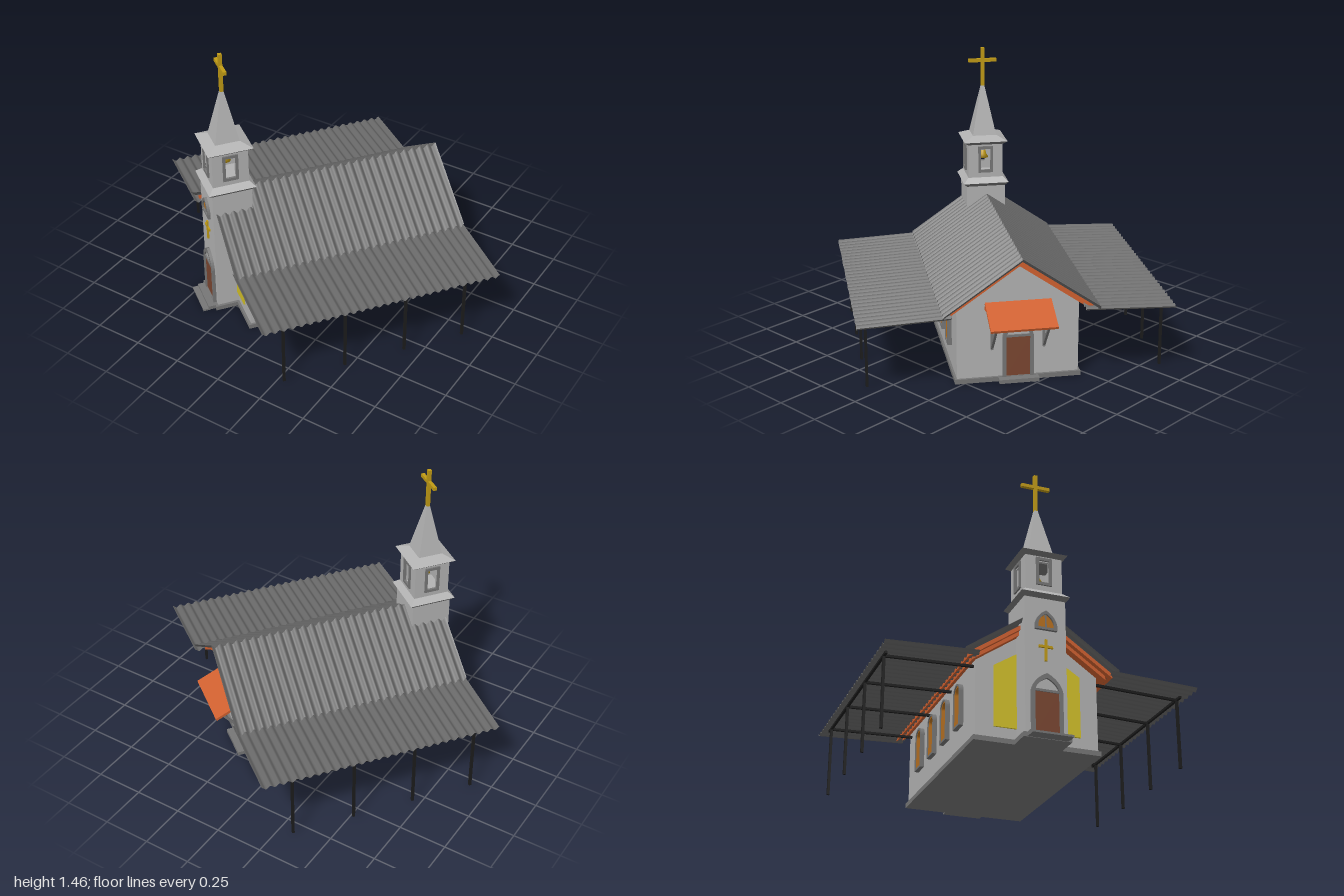
import * as THREE from 'three';

const mat = (name, color, double) => {
  const m = new THREE.MeshStandardMaterial({ color });
  m.name = name;
  if (double) m.side = THREE.DoubleSide;
  return m;
};

export function createModel() {
  const wall = mat('wallGrey', 0xb2b2b2);
  const trim = mat('trimGrey', 0x767676);
  const metal = mat('roofGrey', 0x686868, true);
  const orange = mat('orangeWood', 0xd0602f);
  const amber = mat('amberWood', 0xb8701c);
  const brown = mat('doorBrown', 0x7a4630);
  const yellow = mat('yellowGlass', 0xd2c028);
  const gold = mat('gold', 0xc09a14);
  const black = mat('postBlack', 0x1c1c1c);

  const model = new THREE.Group();
  model.name = 'church';
  // The church stands turned on its base: local +z is the entrance
  const church = new THREE.Group();
  church.name = 'turnedChurch';
  church.rotation.y = -0.6435;
  model.add(church);
  const CX = -0.015; // ridge line
  const FRONT = 0.525, BACK = -0.49;

  const add = (name, geo, m, x = 0, y = 0, z = 0, parent = church) => {
    const mesh = new THREE.Mesh(geo, m);
    mesh.name = name;
    mesh.position.set(x, y, z);
    parent.add(mesh);
    return mesh;
  };
  const box = (name, w, h, d, m, x, y, z, parent) =>
    add(name, new THREE.BoxGeometry(w, h, d), m, x, y, z, parent);
  const beam = (name, a, b, t, m) => {
    const p = new THREE.Vector3(...a), q = new THREE.Vector3(...b);
    const mesh = box(name, t, t, p.distanceTo(q), m, 0, 0, 0);
    mesh.position.copy(p).add(q).multiplyScalar(0.5);
    mesh.quaternion.setFromUnitVectors(new THREE.Vector3(0, 0, 1), q.sub(p).normalize());
    return mesh;
  };
  const poly = (pts) => new THREE.Shape(pts.map((p) => new THREE.Vector2(...p)));
  const extrude = (shape, depth) =>
    new THREE.ExtrudeGeometry(shape, { depth, bevelEnabled: false, curveSegments: 8 });
  const rect = (w, h) => poly([[-w, -h], [w, -h], [w, h], [-w, h]]);
  // Arched outline: half width, bottom, springing height, top, round or pointed
  const arch = (w, b, s, top, pointed) => {
    const a = new THREE.Shape().moveTo(-w, b).lineTo(w, b).lineTo(w, s);
    if (pointed) {
      a.quadraticCurveTo(w * 0.85, s + (top - s) * 0.65, 0, top);
      a.quadraticCurveTo(-w * 0.85, s + (top - s) * 0.65, -w, s);
    } else a.absellipse(0, s, w, top - s, 0, Math.PI, false);
    return a;
  };
  const ring = (outer, inner, depth) => {
    outer.holes.push(inner);
    return extrude(outer, depth);
  };
  // Square frustum given by its bottom and top side lengths
  const frustum = (name, bottom, top, y0, y1, m, parent) => {
    let g = new THREE.CylinderGeometry(top / Math.SQRT2, bottom / Math.SQRT2, y1 - y0, 4);
    g = g.rotateY(Math.PI / 4).toNonIndexed();
    g.computeVertexNormals();
    return add(name, g, m, 0, (y0 + y1) / 2, 0, parent);
  };

  // Plinth and gabled hall
  box('plinth', 0.632, 0.024, 1.04, trim, CX, 0.012, 0.0175);
  const slope = 0.696;
  add('hallWalls', extrude(poly([[-0.305, 0.02], [0.305, 0.02], [0.305, 0.418],
    [0, 0.63], [-0.305, 0.418]]), FRONT - BACK), wall, CX, 0, BACK);

  // Orange timber under the main roof, in two steps
  const chevron = (name, half, top, t, z0, z1) => add(name, extrude(poly([
    [0, top], [-half, top - half * slope], [-half, top - half * slope - t], [0, top - t],
    [half, top - half * slope - t], [half, top - half * slope]]), z1 - z0), orange, CX, 0, z0);
  chevron('upperRoofTimber', 0.36, 0.654, 0.022, -0.565, 0.59);
  chevron('lowerRoofTimber', 0.335, 0.632, 0.02, -0.53, 0.565);

  // Corrugated sheets, running from (x0, y0) to (x1, y1)
  const sheet = (name, x0, y0, x1, y1, amp) => {
    const waves = 28, n = waves * 6;
    const g = new THREE.PlaneGeometry(1, 1, 1, n).rotateX(-Math.PI / 2);
    const p = g.attributes.position;
    for (let i = 0; i < p.count; i++) {
      const t = p.getX(i) + 0.5, z = p.getZ(i);
      p.setXYZ(i, x0 + (x1 - x0) * t,
        y0 + (y1 - y0) * t + amp * Math.cos((z + 0.5) * waves * 2 * Math.PI), z * 1.245);
    }
    g.computeVertexNormals();
    add(name, g, metal);
  };
  sheet('mainRoofRight', CX - 0.385, 0.402, CX, 0.67, 0.01);
  sheet('mainRoofLeft', CX, 0.67, CX + 0.385, 0.402, 0.01);
  sheet('sideCanopyRight', -0.782, 0.378, -0.33, 0.397, 0.008);
  sheet('sideCanopyLeft', 0.33, 0.397, 0.782, 0.378, 0.008);

  // Canopy posts and beams, side windows
  for (const s of [-1, 1]) {
    const px = CX * 0.7 + s * 0.74;
    for (let i = 0; i < 4; i++) {
      const z = 0.5 - i * 0.32;
      box('canopyPost', 0.013, 0.355, 0.013, black, px, 0.185, z);
      beam('canopyRafter', [CX + s * 0.3, 0.375, z], [px, 0.36, z], 0.012, black);

      const win = new THREE.Group();
      win.name = 'sideWindow';
      win.position.set(CX + s * 0.303, 0, 0.318 - i * 0.2);
      win.rotation.y = s * Math.PI / 2;
      church.add(win);
      add('windowFrame', ring(arch(0.045, 0.135, 0.31, 0.355), arch(0.036, 0.145, 0.31, 0.345), 0.024),
        trim, 0, 0, 0, win);
      add('windowLining', ring(arch(0.036, 0.145, 0.31, 0.345), arch(0.029, 0.152, 0.31, 0.338), 0.019),
        amber, 0, 0, 0, win);
    }
    beam('canopyEdgeBeam', [px, 0.362, -0.5], [px, 0.362, 0.54], 0.012, black);
    // Tall yellow panes beside the tower
    const pane = poly(s > 0
      ? [[0.09, 0.08], [0.215, 0.08], [0.215, 0.385], [0.09, 0.465]]
      : [[-0.215, 0.08], [-0.09, 0.08], [-0.09, 0.465], [-0.215, 0.385]]);
    add('frontPane', extrude(pane, 0.008), yellow, CX, 0, FRONT);
  }

  // Bell tower
  const tower = new THREE.Group();
  tower.name = 'tower';
  tower.position.set(CX, 0, 0.535);
  church.add(tower);
  const T = 0.104;
  box('towerPlinth', 0.236, 0.024, 0.236, trim, 0, 0.012, 0, tower);
  box('towerShaft', T * 2, 0.7, T * 2, wall, 0, 0.37, 0, tower);
  frustum('lowerCorniceSoffit', 0.208, 0.246, 0.715, 0.735, trim, tower);
  frustum('lowerCornice', 0.246, 0.19, 0.735, 0.762, wall, tower);
  for (let i = 0; i < 4; i++) {
    const side = new THREE.Group();
    side.name = 'belfrySide';
    side.rotation.y = i * Math.PI / 2;
    tower.add(side);
    add('belfryWall', ring(rect(0.094, 0.1), rect(0.026, 0.058), 0.015), wall, 0, 0.858, 0.079, side);
    add('belfryFrame', ring(rect(0.04, 0.073), rect(0.026, 0.058), 0.012), trim, 0, 0.863, 0.09, side);
  }
  add('bell', new THREE.LatheGeometry([[0, 0.05], [0.014, 0.047], [0.018, 0.02], [0.03, 0], [0, 0.004]]
    .map((p) => new THREE.Vector2(...p)).reverse(), 16), gold, 0, 0.85, 0, tower);
  box('bellHanger', 0.008, 0.06, 0.008, gold, 0, 0.92, 0, tower);
  frustum('upperCorniceSoffit', 0.19, 0.234, 0.945, 0.963, trim, tower);
  frustum('upperCornice', 0.234, 0.126, 0.963, 0.988, wall, tower);
  frustum('spire', 0.128, 0.016, 0.985, 1.255, wall, tower);
  box('crossUpright', 0.018, 0.215, 0.018, gold, 0, 1.348, 0, tower);
  box('crossArm', 0.15, 0.018, 0.018, gold, 0, 1.387, 0, tower);

  // Tower front: pointed window and small cross
  add('towerWindowFrame', ring(arch(0.055, 0.548, 0.575, 0.647, true), arch(0.04, 0.56, 0.575, 0.63, true), 0.014),
    trim, 0, 0, T, tower);
  add('towerWindowGlass', extrude(arch(0.04, 0.56, 0.575, 0.63, true), 0.005), amber, 0, 0, T, tower);
  box('towerWindowBar', 0.008, 0.07, 0.01, trim, 0, 0.594, T + 0.004, tower);
  box('smallCrossUpright', 0.012, 0.11, 0.009, gold, 0, 0.445, T + 0.004, tower);
  box('smallCrossArm', 0.07, 0.012, 0.009, gold, 0, 0.463, T + 0.004, tower);

  // Pointed doorways with steps, at the tower front and the rear gable
  const doorway = (name, z, turn) => {
    const d = new THREE.Group();
    d.name = name;
    d.position.set(CX, 0, z);
    d.rotation.y = turn;
    church.add(d);
    add('doorFrame', ring(arch(0.078, 0.02, 0.235, 0.325, true), arch(0.06, 0.021, 0.235, 0.3, true), 0.016),
      trim, 0, 0, 0, d);
    add('doorTympanum', extrude(arch(0.06, 0.225, 0.236, 0.3, true), 0.006), wall, 0, 0, 0, d);
    box('doorLeaf', 0.12, 0.21, 0.009, brown, 0, 0.13, 0.004, d);
    box('doorLintel', 0.12, 0.012, 0.014, trim, 0, 0.238, 0.006, d);
    box('upperStep', 0.2, 0.02, 0.05, trim, 0, 0.012, 0.025, d);
    return d;
  };
  const entry = doorway('frontDoorway', 0.535 + T, 0);
  box('lowerStep', 0.2, 0.01, 0.035, trim, 0, 0.005, 0.062, entry);
  doorway('rearDoorway', BACK, Math.PI);

  // Rear awning on wall brackets
  const awning = box('awning', 0.33, 0.014, 0.19, orange, CX, 0.375, -0.578);
  awning.rotation.x = -0.43;
  box('awningWallPlate', 0.33, 0.02, 0.014, orange, CX, 0.39, BACK - 0.007);
  for (const s of [-1, 1]) {
    const x = CX + s * 0.13;
    box('bracketPost', 0.012, 0.23, 0.012, trim, x, 0.285, BACK - 0.006);
    beam('bracketStrut', [x, 0.18, BACK - 0.006], [x, 0.34, -0.63], 0.012, trim);
  }
  return model;
}
